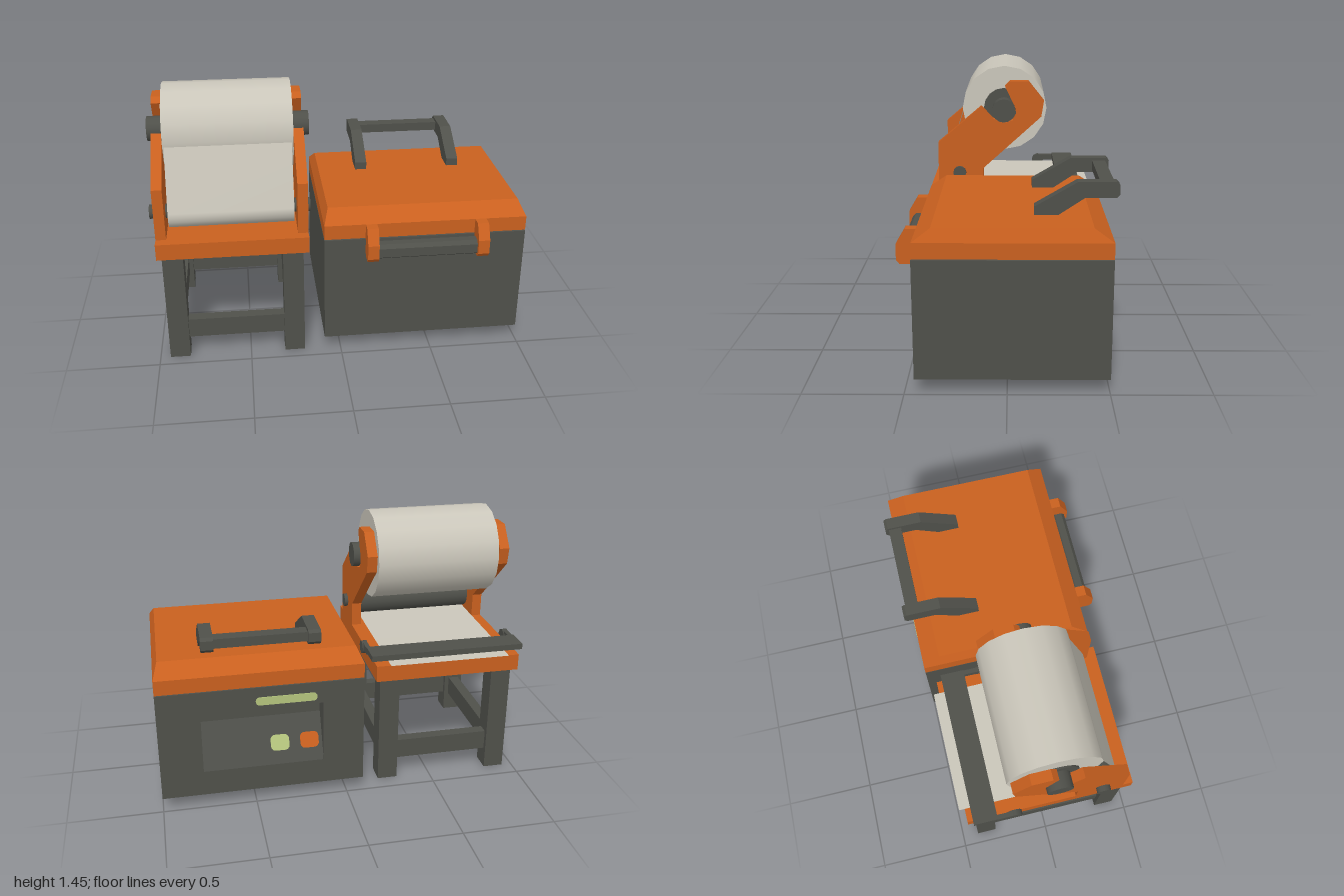
import * as THREE from 'three';

export function createModel() {
  const root = new THREE.Group();
  const mat = (name, color) => {
    const m = new THREE.MeshStandardMaterial({ color });
    m.name = name;
    return m;
  };
  const orange = mat('orange', 0xc9601f);
  const dark = mat('dark grey', 0x4f504a);
  const paper = mat('paper', 0xcac6ba);
  const green = mat('pale green', 0xb4c47c);
  paper.side = THREE.DoubleSide;

  const add = (name, geo, m, parent = root) => {
    const mesh = new THREE.Mesh(geo, m);
    mesh.name = name;
    parent.add(mesh);
    return mesh;
  };
  const group = (name) => {
    const g = new THREE.Group();
    g.name = name;
    root.add(g);
    return g;
  };
  // Box given by its limits
  const box = (name, m, x0, x1, y0, y1, z0, z1, parent) =>
    add(name, new THREE.BoxGeometry(x1 - x0, y1 - y0, z1 - z0)
      .translate((x0 + x1) / 2, (y0 + y1) / 2, (z0 + z1) / 2), m, parent);
  // Cylinder lying along x
  const rod = (name, m, x0, x1, y, z, r, sides, parent) =>
    add(name, new THREE.CylinderGeometry(r, r, x1 - x0, sides)
      .rotateZ(Math.PI / 2).translate((x0 + x1) / 2, y, z), m, parent);
  // Side profile of [z, y] points, extruded along x
  const profile = (name, m, pts, x0, x1, parent) => {
    const shape = new THREE.Shape(pts.map(([z, y]) => new THREE.Vector2(z, y)));
    const geo = new THREE.ExtrudeGeometry(shape, { depth: x1 - x0, bevelEnabled: false });
    return add(name, geo.rotateY(-Math.PI / 2).translate(x1, 0, 0), m, parent);
  };
  // Rounded plate outline
  const roundedRect = (w, h, r) => {
    const s = new THREE.Shape();
    s.absarc(w / 2 - r, h / 2 - r, r, 0, Math.PI / 2);
    s.absarc(-w / 2 + r, h / 2 - r, r, Math.PI / 2, Math.PI);
    s.absarc(-w / 2 + r, -h / 2 + r, r, Math.PI, Math.PI * 1.5);
    s.absarc(w / 2 - r, -h / 2 + r, r, Math.PI * 1.5, Math.PI * 2);
    return s;
  };
  const plate = (name, m, w, h, r, parent) =>
    add(name, new THREE.ExtrudeGeometry(roundedRect(w, h, r),
      { depth: 0.008, bevelEnabled: false, curveSegments: 3 }).translate(0, 0, -0.004), m, parent);

  // ---- Cabinet ----
  const cabinet = group('cabinet');
  box('cabinetBody', dark, -0.09, 1, 0.08, 0.685, -0.39, 0.45, cabinet);
  box('lidSeal', dark, -0.07, 0.98, 0.685, 0.692, -0.48, 0.43, cabinet);
  // Back wall with control opening
  const wall = new THREE.Shape([[-0.09, 0.08], [1, 0.08], [1, 0.685], [-0.09, 0.685]]
    .map((p) => new THREE.Vector2(...p)));
  wall.holes.push(new THREE.Path([[0.13, 0.22], [0.13, 0.565], [0.775, 0.565], [0.775, 0.22]]
    .map((p) => new THREE.Vector2(...p))));
  add('backWall', new THREE.ExtrudeGeometry(wall, { depth: 0.11, bevelEnabled: false })
    .translate(0, 0, -0.5), dark, cabinet);
  profile('controlPanel', dark, [[-0.5, 0.22], [-0.39, 0.22], [-0.39, 0.46]], 0.13, 0.775, cabinet);
  // Buttons on the sloping panel
  for (const [name, m, x] of [['greenButton', green, 0.36], ['orangeButton', orange, 0.2]]) {
    const b = plate(name, m, 0.1, 0.085, 0.025, cabinet);
    b.position.set(x, 0.325, -0.454);
    b.rotation.x = Math.atan2(0.11, 0.24);
  }
  plate('statusLight', green, 0.325, 0.045, 0.022, cabinet).position.set(0.325, 0.607, -0.501);

  // ---- Lid ----
  const lid = group('lid');
  box('lidRim', orange, -0.09, 1, 0.69, 0.77, -0.5, 0.447, lid);
  const top = new THREE.BoxGeometry(1.09, 0.065, 0.947).toNonIndexed();
  const p = top.attributes.position;
  for (let i = 0; i < p.count; i++) {
    if (p.getY(i) > 0) {
      p.setX(i, Math.sign(p.getX(i)) * 0.518);
      p.setZ(i, p.getZ(i) > 0 ? 0.3835 : -0.3785);
    }
  }
  top.computeVertexNormals();
  add('lidTop', top.translate(0.455, 0.8025, -0.0265), orange, lid);

  // Lifting handle
  const arm = [[-0.13, 0.83], [-0.13, 0.877], [-0.34, 1], [-0.53, 1], [-0.545, 0.985],
    [-0.545, 0.937], [-0.53, 0.92], [-0.375, 0.92], [-0.24, 0.83]];
  for (const x of [0.15, 0.69]) profile('handleArm', dark, arm, x, x + 0.065, lid);
  box('handleBar', dark, 0.21, 0.695, 0.935, 0.985, -0.525, -0.455, lid);

  // Front pull
  const bracket = [[0.44, 0.77], [0.5, 0.77], [0.547, 0.69], [0.547, 0.612], [0.53, 0.59],
    [0.475, 0.59], [0.455, 0.61], [0.455, 0.68], [0.44, 0.69]];
  for (const x of [0.13, 0.72]) profile('pullBracket', orange, bracket, x, x + 0.06, lid);
  profile('pullBar', dark, [[0.455, 0.66], [0.47, 0.68], [0.51, 0.68], [0.528, 0.66],
    [0.528, 0.61], [0.51, 0.597], [0.47, 0.597], [0.455, 0.61]], 0.185, 0.725, lid);

  // ---- Stand ----
  const stand = group('stand');
  box('tableTop', orange, -0.97, -0.17, 0.63, 0.72, -0.45, 0.465, stand);
  for (const x of [-0.945, -0.31]) {
    for (const z of [-0.41, 0.325]) box('leg', dark, x, x + 0.11, 0, 0.63, z, z + 0.11, stand);
    box('sideRail', dark, x + 0.025, x + 0.085, 0.11, 0.22, -0.31, 0.335, stand);
  }
  for (const z of [-0.385, 0.35]) box('crossRail', dark, -0.84, -0.3, 0.11, 0.22, z, z + 0.06, stand);

  // ---- Roll holder ----
  const holder = group('rollHolder');
  const cheek = [[0.41, 0.715], [0.41, 1.005], [0.158, 1.217], [0.138, 1.195], [0.09, 1.145],
    [0.025, 1.12], [-0.025, 1.137], [-0.045, 1.17], [-0.04, 1.208], [0.02, 1.335],
    [-0.01, 1.363], [-0.115, 1.363], [-0.205, 1.25], [-0.19, 1.158], [0.147, 0.853], [0.147, 0.715]];
  for (const x of [-0.97, -0.225]) profile('sidePlate', orange, cheek, x, x + 0.055, holder);
  rod('spindle', dark, -1, -0.135, 1.197, 0.027, 0.067, 16, holder);
  rod('hub', dark, -0.916, -0.224, 1.2, 0.027, 0.117, 16, holder);
  rod('paperRoll', paper, -0.907, -0.23, 1.2, 0.023, 0.245, 16, holder);
  rod('guideAxle', dark, -1, -0.15, 0.828, 0.286, 0.038, 12, holder);
  rod('guideRoller', dark, -0.9, -0.24, 0.83, 0.285, 0.083, 16, holder);

  // Paper web from the roll, under the guide roller and across the table
  const path = [[0.268, 1.18]];
  for (let i = 0; i <= 6; i++) {
    const a = 0.2 - (i / 6) * (0.2 + Math.PI / 2);
    path.push([0.285 + 0.09 * Math.cos(a), 0.83 + 0.09 * Math.sin(a)]);
  }
  path.push([0.1, 0.737], [-0.48, 0.732]);
  const web = new THREE.PlaneGeometry(0.66, 1, 1, path.length - 1);
  const wp = web.attributes.position;
  for (let i = 0; i < wp.count; i++) {
    const [z, y] = path[Math.floor(i / 2)];
    wp.setXYZ(i, wp.getX(i) - 0.57, y, z);
  }
  web.computeVertexNormals();
  add('paperWeb', web, paper, holder);

  // ---- Hinged cutter bar ----
  const cutter = group('cutter');
  box('cutterBar', dark, -1, -0.15, 0.736, 0.768, -0.42, -0.29, cutter);
  for (const x of [-1, -0.175]) {
    rod('cutterPivot', dark, x, x + 0.03, 0.727, -0.193, 0.038, 8, cutter);
    box('cutterArm', dark, x, x + 0.025, 0.725, 0.76, -0.3, -0.193, cutter);
  }
  return root;
}
